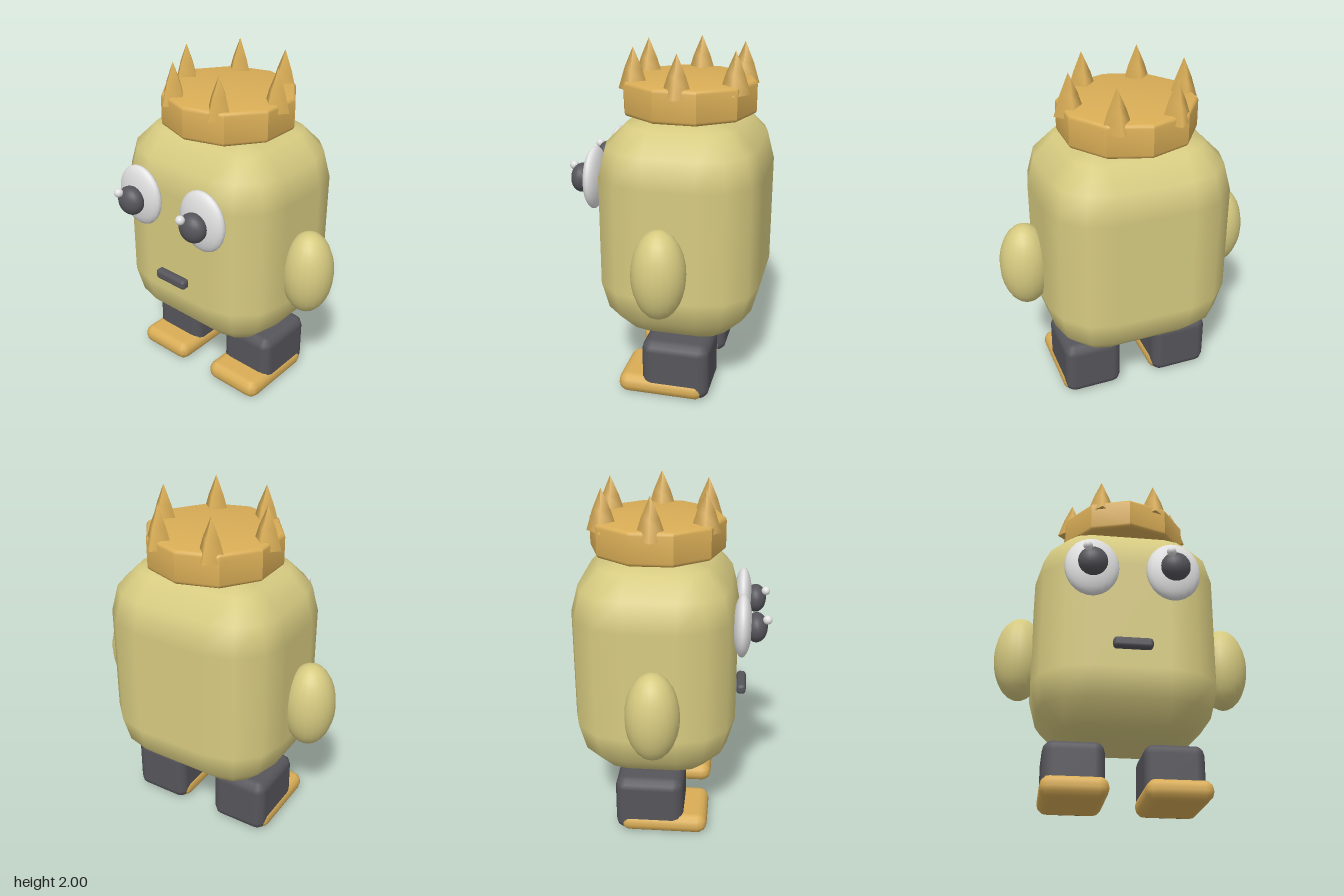
import * as THREE from 'three';
import { toCreasedNormals } from 'three/addons/utils/BufferGeometryUtils.js';

const paint = (name, color) => {
  const m = new THREE.MeshStandardMaterial({ color });
  m.name = name;
  return m;
};

// Box with rounded corners of radius r, n steps per quarter turn
function softBox(w, h, d, r, n = 3) {
  const pos = [], nor = [], index = [];
  const cols = 4 * (n + 1), rows = 2 * (n + 1);
  for (let j = 0; j < rows; j++) {
    const up = j > n;
    const phi = ((up ? j - n - 1 : j - n) / n) * Math.PI / 2;
    for (let i = 0; i < cols; i++) {
      const q = Math.floor(i / (n + 1));
      const theta = (q + (i % (n + 1)) / n) * Math.PI / 2;
      const dir = [Math.cos(phi) * Math.sin(theta), Math.sin(phi), Math.cos(phi) * Math.cos(theta)];
      const sx = q < 2 ? 1 : -1, sz = q === 0 || q === 3 ? 1 : -1;
      pos.push(sx * (w / 2 - r) + dir[0] * r, (up ? 1 : -1) * (h / 2 - r) + dir[1] * r, sz * (d / 2 - r) + dir[2] * r);
      nor.push(...dir);
    }
  }
  for (let j = 0; j < rows - 1; j++) {
    for (let i = 0; i < cols; i++) {
      const k = (i + 1) % cols;
      const a = j * cols + i, b = j * cols + k, c = b + cols, e = a + cols;
      index.push(a, b, c, a, c, e);
    }
  }
  // Flat top and bottom
  const s = n + 1, t = (rows - 1) * cols;
  index.push(t, t + s, t + 2 * s, t, t + 2 * s, t + 3 * s);
  index.push(0, 2 * s, s, 0, 3 * s, 2 * s);
  const g = new THREE.BufferGeometry();
  g.setAttribute('position', new THREE.Float32BufferAttribute(pos, 3));
  g.setAttribute('normal', new THREE.Float32BufferAttribute(nor, 3));
  g.setIndex(index);
  return g;
}

const profile = (pts) => pts.map(([x, y]) => new THREE.Vector2(x, y));

export function createModel() {
  const model = new THREE.Group();
  const skin = paint('pale yellow', 0xd6ca80);
  const gold = paint('gold', 0xd9ad56);
  const dark = paint('charcoal', 0x56555b);
  const white = paint('white', 0xe0e0e0);

  const add = (name, geometry, material, x, y, z) => {
    const m = new THREE.Mesh(geometry, material);
    m.name = name;
    m.position.set(x, y, z);
    model.add(m);
    return m;
  };
  const ball = new THREE.SphereGeometry(1, 20, 14);
  const ellipsoid = (name, material, x, y, z, rx, ry, rz) =>
    add(name, ball, material, x, y, z).scale.set(rx, ry, rz);

  add('body', softBox(1.08, 1.28, 0.935, 0.32), skin, 0, 0.995, -0.0955);
  add('mouth', softBox(0.22, 0.06, 0.056, 0.02), dark, 0, 0.8, 0.403);

  // Paired parts
  const legShape = softBox(0.35, 0.348, 0.4, 0.06);
  const footShape = softBox(0.37, 0.118, 0.515, 0.056);
  for (const [side, s] of [['left', 1], ['right', -1]]) {
    ellipsoid(side + 'Arm', skin, s * 0.61, 0.875, -0.07, 0.148, 0.256, 0.15);
    ellipsoid(side + 'Eye', white, s * 0.233, 1.263, 0.397, 0.156, 0.18, 0.054);
    ellipsoid(side + 'Pupil', dark, s * 0.233, 1.257, 0.473, 0.084, 0.084, 0.063);
    ellipsoid(side + 'EyeGlint', white, s * 0.233 - 0.034, 1.316, 0.532, 0.026, 0.026, 0.026);
    add(side + 'Leg', legShape, dark, s * 0.282, 0.18, -0.115);
    add(side + 'Foot', footShape, gold, s * 0.282, 0.061, -0.032);
  }

  // Ten-sided crown band with softened rims
  const R = 0.385, b = 0.022, h = 0.19;
  const rim = [[0, 0]];
  for (let k = 0; k < 8; k++) {
    const a = ((k < 4 ? k - 3 : k - 4) / 3) * Math.PI / 2;
    rim.push([R - b + b * Math.cos(a), (k < 4 ? b : h - b) + b * Math.sin(a)]);
  }
  rim.push([0, h]);
  add('crownBand', toCreasedNormals(new THREE.LatheGeometry(profile(rim), 10), 0.55), gold, 0, 1.627, -0.095);

  // Four-sided crown spikes
  const spike = new THREE.LatheGeometry(
    profile([[0, 0], [0.086, 0], [0.086, 0], [0.05, 0.115], [0, 0.232]]), 4);
  for (let k = 0; k < 6; k++) {
    const a = k * Math.PI / 3;
    add('crownSpike', spike, gold, 0.325 * Math.cos(a), 1.768, -0.1 + 0.325 * Math.sin(a));
  }
  return model;
}
